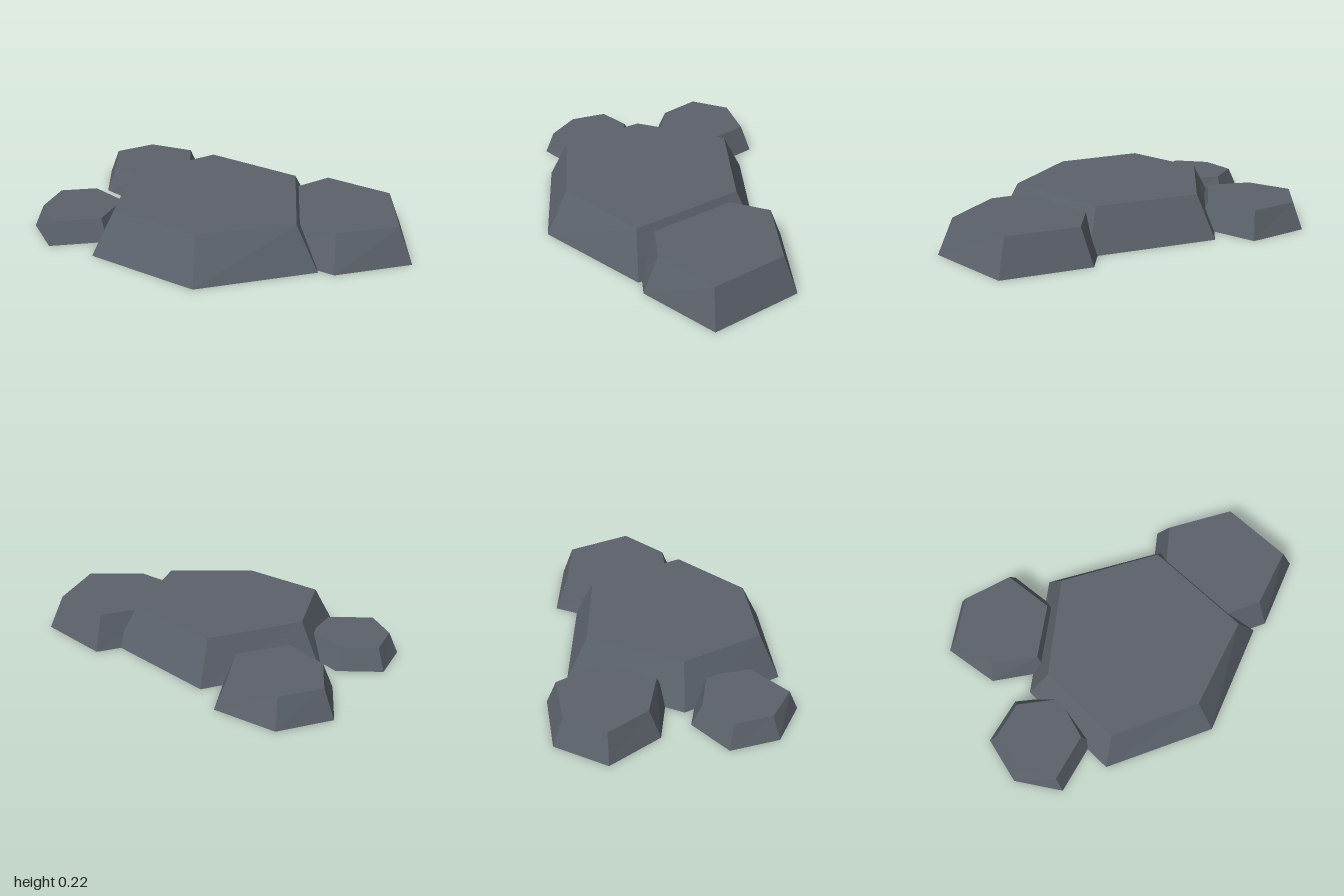
import * as THREE from 'three';

// Irregular six-sided outlines (x, z) of the stone, at the ground and at the top
const BASE = [[0, -0.625], [0.597, -0.28], [0.595, 0.43], [0.005, 0.632], [-0.54, 0.36], [-0.537, -0.23]];
const TOP = [[0, -0.5], [0.483, -0.225], [0.483, 0.368], [0.005, 0.505], [-0.43, 0.295], [-0.427, -0.172]];

// Flat-topped stone of unit height with sloping sides, open underneath
function stoneGeometry() {
  const low = BASE.map(([x, z]) => [x, 0, z]);
  const high = TOP.map(([x, z]) => [x, 1, z]);
  const points = [];
  for (let i = 0; i < 6; i++) {
    const j = (i + 1) % 6;
    points.push(low[j], low[i], high[i], low[j], high[i], high[j]); // side
    points.push([0, 1, 0], high[j], high[i]); // top
  }
  const geometry = new THREE.BufferGeometry();
  geometry.setAttribute('position', new THREE.Float32BufferAttribute(points.flat(), 3));
  geometry.computeVertexNormals();
  return geometry;
}

export function createModel() {
  const group = new THREE.Group();
  group.name = 'flatRocks';
  const slate = new THREE.MeshStandardMaterial({ color: 0x5b616a, side: THREE.DoubleSide, flatShading: true });
  slate.name = 'slateGrey';
  const geometry = stoneGeometry();

  // Name, centre x and z, width scale, height, turn in degrees
  const stones = [
    ['largeRock', -0.07, 0.13, 1, 0.225, 0],
    ['leftRock', 0.6, 0.16, 0.663, 0.187, 0],
    ['backRock', -0.445, -0.481, 0.505, 0.146, -55],
    ['smallRock', -0.74, 0.123, 0.423, 0.117, -76.4],
  ];
  for (const [name, x, z, size, height, turn] of stones) {
    const rock = new THREE.Mesh(geometry, slate);
    rock.name = name;
    rock.position.set(x, 0, z);
    rock.scale.set(size, height, size);
    rock.rotation.y = THREE.MathUtils.degToRad(turn);
    group.add(rock);
  }
  return group;
}
